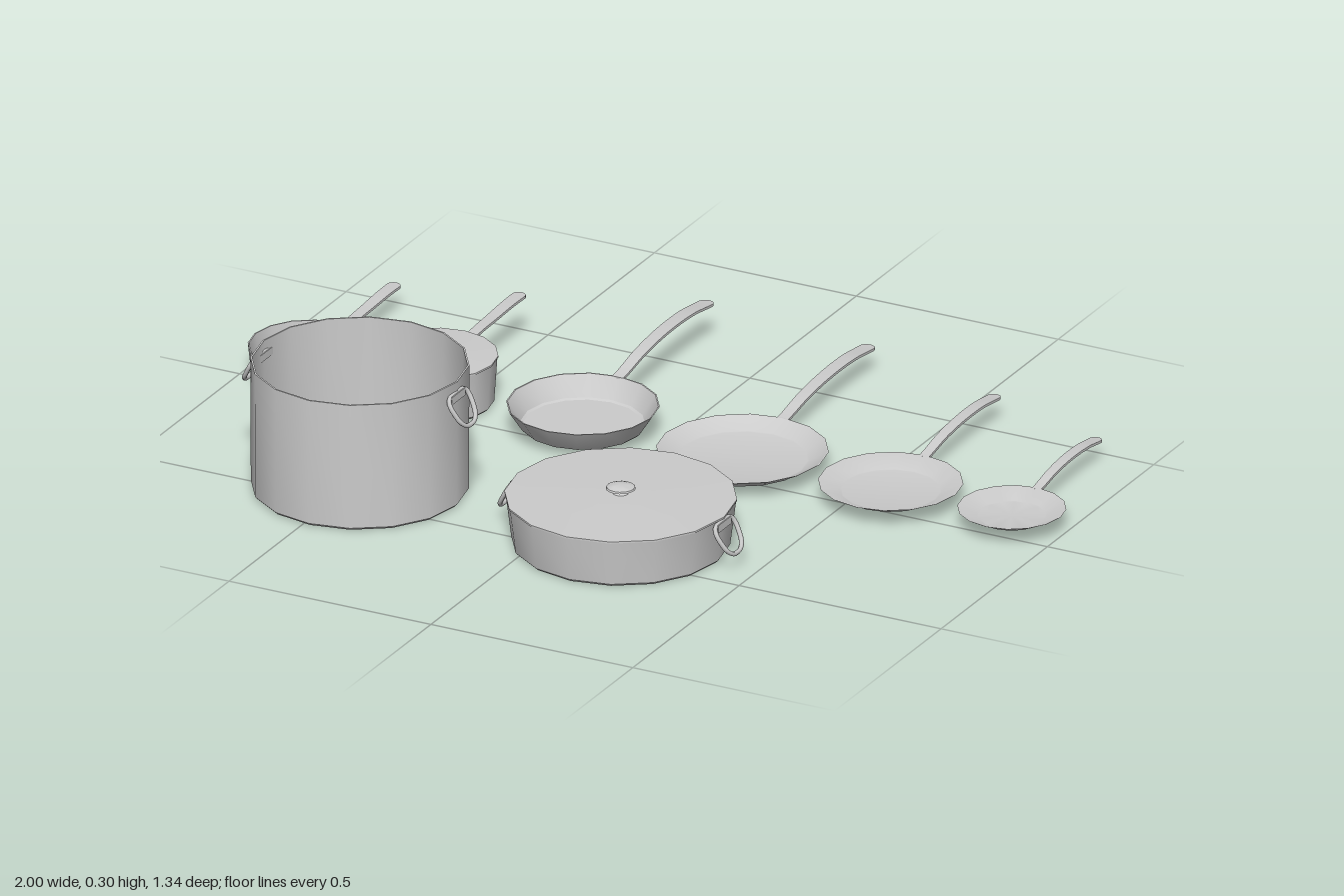
import * as THREE from 'three';
import { toCreasedNormals } from 'three/addons/utils/BufferGeometryUtils.js';

const SIDES = 16;
const metal = new THREE.MeshStandardMaterial({ color: 0xcccccc, side: THREE.DoubleSide });

function addMesh(parent, name, geometry) {
  const mesh = new THREE.Mesh(geometry, metal);
  mesh.name = name;
  parent.add(mesh);
  return mesh;
}

function lathe(points, sides = SIDES) {
  const profile = points.map(([r, y]) => new THREE.Vector2(r, y));
  return toCreasedNormals(new THREE.LatheGeometry(profile, sides), 0.45);
}

// Open vessel with a thin wall, flared from the base radius to the rim radius
function vessel(base, rim, bottom, top, wall = 0.004) {
  const bevel = Math.min(0.006, (top - bottom) * 0.15);
  return lathe([
    [0, bottom], [base - bevel, bottom], [base, bottom + bevel], [rim, top],
    [rim - wall, top], [base - wall, bottom + bevel], [base - wall - bevel, bottom + wall], [0, bottom + wall],
  ]);
}

// Thin strip handle running backwards, with a rounded tip and a gentle arch
function stripHandle(start, end, y, arch, tipRise, width) {
  const geometry = new THREE.BoxGeometry(1, 0.006, 1, 2, 1, 28);
  const curve = new THREE.SplineCurve([
    [0, 0], [0.25, arch * 0.68], [0.5, arch], [0.75, arch * 0.5 + tipRise * 0.5 + arch * 0.2], [1, tipRise],
  ].map(([t, h]) => new THREE.Vector2(t, h)));
  const length = start - end;
  const pos = geometry.attributes.position;
  for (let i = 0; i < pos.count; i++) {
    const s = 0.5 - pos.getZ(i);
    const t = 1 - (1 - s) ** 1.6; // closer steps near the tip
    const fromTip = Math.min(1, ((1 - t) * length) / (width / 2));
    const w = width * (0.75 + 0.25 * t) * Math.max(0.15, Math.sqrt(1 - (1 - fromTip) ** 2));
    pos.setXYZ(i, pos.getX(i) * w, y + curve.getPoint(t).y + pos.getY(i), start - t * length);
  }
  geometry.computeVertexNormals();
  return geometry;
}

// Slightly domed lid with a mushroom knob
function addLid(parent, radius, y, knob) {
  const lid = new THREE.Group();
  lid.name = 'lid';
  lid.position.y = y;
  parent.add(lid);
  addMesh(lid, 'lidPlate', lathe([
    [0, -0.003], [radius, -0.003], [radius, 0.001], [radius * 0.6, 0.003], [radius * 0.3, 0.005], [0, 0.006],
  ]));
  addMesh(lid, 'lidKnob', lathe([
    [knob * 0.6, 0.004], [knob * 0.4, 0.009], [knob * 0.45, 0.012], [knob, 0.017],
    [knob * 0.95, 0.021], [knob * 0.6, 0.025], [0, 0.027],
  ]));
}

// D-shaped loop handles hanging out from both sides
function addLoopHandles(parent, radius, top) {
  for (const side of [1, -1]) {
    const handle = new THREE.Group();
    handle.name = side > 0 ? 'leftLoopHandle' : 'rightLoopHandle';
    parent.add(handle);
    // [z, distance down the tilted loop from 0 to 1]
    const point = ([z, d]) => new THREE.Vector3(side * (radius + 0.001 + 0.035 * d), top - 0.062 * d, z);
    const loop = [[-0.036, 0], [-0.043, 0.18], [-0.041, 0.5], [-0.032, 0.83], [-0.015, 1],
      [0.015, 1], [0.032, 0.83], [0.041, 0.5], [0.043, 0.18], [0.036, 0]].map(point);
    const path = new THREE.CatmullRomCurve3(loop, true);
    addMesh(handle, 'loop', new THREE.TubeGeometry(path, 40, 0.0055, 6, true));
    // Bracket that holds the top bar to the wall
    const bracket = addMesh(handle, 'bracket', new THREE.BoxGeometry(0.014, 0.018, 0.062));
    bracket.position.set(side * (radius - 0.001), top - 0.004, 0);
  }
}

export function createModel() {
  const model = new THREE.Group();
  model.name = 'cookwareSet';

  const place = (name, x, z) => {
    const group = new THREE.Group();
    group.name = name;
    group.position.set(x, 0, z);
    model.add(group);
    return group;
  };

  // Back row; lengths and heights are measured from each pan's centre
  const pans = [
    { name: 'smallSaucepan', x: -0.863, base: 0.13, rim: 0.137, y0: 0, y1: 0.07, tip: 0.408, grip: 0.045, arch: 0.008, rise: 0.011, width: 0.032 },
    { name: 'liddedSaucepan', x: -0.553, base: 0.13, rim: 0.137, y0: 0, y1: 0.11, tip: 0.408, grip: 0.086, arch: 0.008, rise: 0.011, width: 0.032, lid: true },
    { name: 'sautePan', x: -0.187, base: 0.14, rim: 0.169, y0: 0.018, y1: 0.069, tip: 0.595, grip: 0.066, arch: 0.03, rise: 0.014, width: 0.036 },
    { name: 'largeFryingPan', x: 0.208, base: 0.15, rim: 0.19, y0: 0.017, y1: 0.043, tip: 0.602, grip: 0.038, arch: 0.027, rise: 0.015, width: 0.036 },
    { name: 'mediumFryingPan', x: 0.575, base: 0.115, rim: 0.16, y0: 0.017, y1: 0.041, tip: 0.5, grip: 0.037, arch: 0.024, rise: 0.013, width: 0.031 },
    { name: 'smallFryingPan', x: 0.875, base: 0.08, rim: 0.12, y0: 0.019, y1: 0.041, tip: 0.408, grip: 0.037, arch: 0.02, rise: 0.008, width: 0.029 },
  ];
  for (const p of pans) {
    const pan = place(p.name, p.x, -0.07);
    addMesh(pan, 'panBody', vessel(p.base, p.rim, p.y0, p.y1, 0.003));
    addMesh(pan, 'panHandle', stripHandle(-p.rim + 0.006, -p.tip, p.grip, p.arch, p.rise, p.width));
    if (p.lid) addLid(pan, p.rim + 0.002, p.y1 + 0.003, 0.032);
  }

  // Tall stock pot
  const pot = place('stockPot', -0.484, 0.415);
  addMesh(pot, 'potBody', vessel(0.24, 0.241, 0, 0.301));
  addLoopHandles(pot, 0.239, 0.271);

  // Low casserole with its lid
  const casserole = place('casserole', 0.162, 0.415);
  addMesh(casserole, 'casseroleBody', vessel(0.241, 0.254, 0, 0.11));
  addLid(casserole, 0.256, 0.113, 0.033);
  addLoopHandles(casserole, 0.252, 0.1);

  return model;
}
